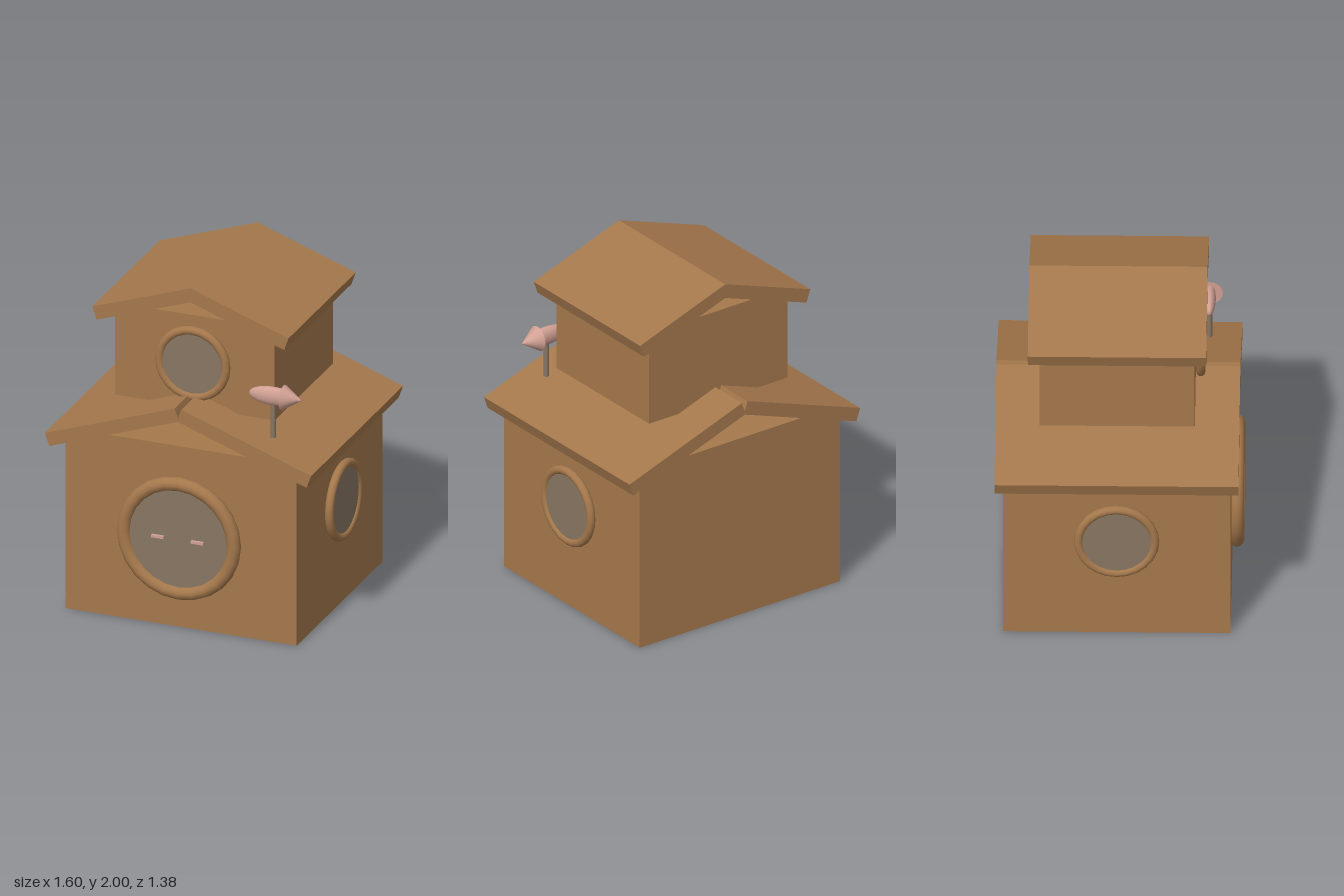
import * as THREE from 'three';

const wood = new THREE.MeshStandardMaterial({ name: 'warm wood', color: 0xa5784c });
const pane = new THREE.MeshStandardMaterial({ name: 'dull taupe', color: 0x887663 });
const pink = new THREE.MeshStandardMaterial({ name: 'dusty pink', color: 0xd0a093 });

const Z = -0.011; // depth centre of the building

function add(parent, name, geometry, material, x = 0, y = 0, z = 0) {
  const mesh = new THREE.Mesh(geometry, material);
  mesh.name = name;
  mesh.position.set(x, y, z);
  parent.add(mesh);
  return mesh;
}

// Two tilted slabs; topX is where the upper inner edge of the right slab sits
function gableRoof(name, topX, topY, eaveX, eaveY, depth) {
  const roof = new THREE.Group();
  roof.name = name;
  const thick = 0.08;
  const run = eaveX - topX, drop = topY - eaveY;
  const length = Math.hypot(run, drop), angle = Math.atan2(drop, run);
  for (const side of [1, -1]) {
    const x = (topX + eaveX) / 2 - Math.sin(angle) * thick / 2;
    const y = (topY + eaveY) / 2 - Math.cos(angle) * thick / 2;
    const slab = add(roof, 'roofSlab', new THREE.BoxGeometry(length, thick, depth), wood, side * x, y, Z);
    slab.rotation.z = -side * angle;
  }
  return roof;
}

// Round frame with a flat pane, facing +z
function roundOpening(name, radius, tube) {
  const group = new THREE.Group();
  group.name = name;
  add(group, 'frame', new THREE.TorusGeometry(radius, tube, 12, 24), wood);
  const back = -tube, front = 0.012;
  const disc = new THREE.CylinderGeometry(radius - tube * 0.8, radius - tube * 0.8, front - back, 32);
  disc.rotateX(Math.PI / 2);
  add(group, 'pane', disc, pane, 0, 0, (front + back) / 2);
  return group;
}

export function createModel() {
  const model = new THREE.Group();
  model.name = 'house';

  // Two storeys
  add(model, 'lowerWalls', new THREE.BoxGeometry(1.39, 1.095, 1.266), wood, 0, 0.5475, Z);
  add(model, 'upperWalls', new THREE.BoxGeometry(0.96, 0.56, 0.863), wood, 0, 1.53, Z);

  // Roofs: the lower one leaves a small notch along the ridge
  model.add(gableRoof('lowerRoof', 0.02, 1.34, 0.8, 1.065, 1.358));
  model.add(gableRoof('upperRoof', 0, 2, 0.59, 1.793, 0.993));

  // Round door with two handles
  const door = roundOpening('door', 0.33, 0.04);
  door.position.set(0, 0.55, 0.652);
  for (const side of [1, -1]) {
    add(door, 'handle', new THREE.BoxGeometry(0.075, 0.015, 0.02), pink, side * 0.118, 0, 0.02);
  }
  model.add(door);

  // Windows
  const upper = roundOpening('upperWindow', 0.2, 0.025);
  upper.position.set(0, 1.53, 0.449);
  model.add(upper);
  for (const side of [1, -1]) {
    const win = roundOpening('sideWindow', 0.213, 0.025);
    win.position.set(side * 0.72, 0.635, Z);
    win.rotation.y = side * Math.PI / 2;
    model.add(win);
  }

  // Arrow-shaped pointer on a post
  const pointer = new THREE.Group();
  pointer.name = 'pointer';
  pointer.position.set(0.5, 1.43, 0.489);
  add(pointer, 'post', new THREE.CylinderGeometry(0.015, 0.015, 0.25, 12), pane, 0, -0.125, 0);
  const body = add(pointer, 'pointerBody', new THREE.SphereGeometry(1, 24, 16), pink);
  body.scale.set(0.145, 0.055, 0.035);
  const tip = add(pointer, 'pointerTip', new THREE.ConeGeometry(0.073, 0.11, 20), pink, 0.115, 0, 0);
  tip.rotation.z = -Math.PI / 2;
  model.add(pointer);

  return model;
}
